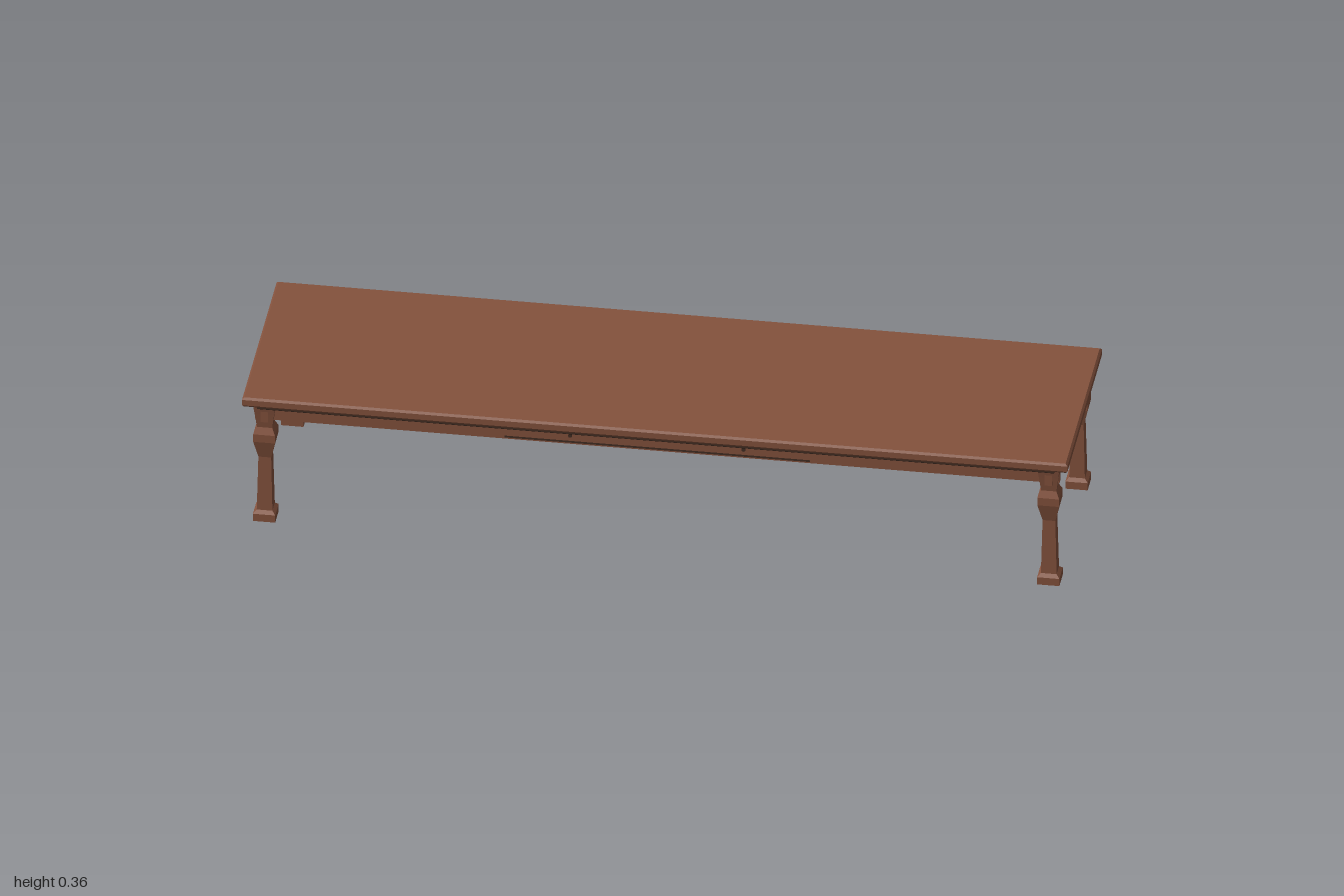
import * as THREE from 'three';

const wood = new THREE.MeshStandardMaterial({ color: 0x84523d });
wood.name = 'brown wood';
const darkWood = new THREE.MeshStandardMaterial({ color: 0x422d23 });
darkWood.name = 'dark wood';

// Rectangular loft: each section is [y, half width, half depth], bottom to top
function loft(sections) {
  const corners = [[1, 1], [1, -1], [-1, -1], [-1, 1]];
  const rings = sections.map(([y, hx, hz]) => corners.map(([x, z]) => [x * hx, y, z * hz]));
  const pos = [];
  const quad = (a, b, c, d) => pos.push(...a, ...b, ...c, ...a, ...c, ...d);
  for (let i = 0; i < rings.length - 1; i++) {
    for (let k = 0; k < 4; k++) {
      const n = (k + 1) % 4;
      quad(rings[i][k], rings[i][n], rings[i + 1][n], rings[i + 1][k]);
    }
  }
  const lo = rings[0], hi = rings[rings.length - 1];
  quad(hi[0], hi[1], hi[2], hi[3]);
  quad(lo[3], lo[2], lo[1], lo[0]);
  const g = new THREE.BufferGeometry();
  g.setAttribute('position', new THREE.Float32BufferAttribute(pos, 3));
  g.computeVertexNormals();
  return g;
}

export function createModel() {
  const model = new THREE.Group();
  model.name = 'lowTable';
  const add = (name, material, geometry, x = 0, y = 0, z = 0) => {
    const mesh = new THREE.Mesh(geometry, material);
    mesh.name = name;
    mesh.position.set(x, y, z);
    model.add(mesh);
    return mesh;
  };

  // Top with chamfered rim, and the dark moulding below it
  add('tableTop', wood, loft([
    [0.332, 0.996, 0.268], [0.337, 1, 0.272], [0.352, 1, 0.272], [0.357, 0.995, 0.267],
  ]));
  add('moulding', darkWood, loft([
    [0.32, 0.964, 0.256], [0.322, 0.966, 0.258], [0.33, 0.966, 0.258], [0.332, 0.964, 0.256],
  ]));

  // Shaped square legs on block feet
  const leg = loft([
    [0, 0.027, 0.027], [0.02, 0.027, 0.027], [0.028, 0.019, 0.019],
    [0.175, 0.0155, 0.0155], [0.222, 0.0265, 0.0265], [0.243, 0.0265, 0.0265],
    [0.26, 0.0185, 0.0185], [0.30, 0.0235, 0.0235], [0.332, 0.028, 0.028],
  ]);
  // Apron rails run through the legs, their ends just showing
  const longRail = new THREE.BoxGeometry(1.949, 0.044, 0.018);
  const shortRail = new THREE.BoxGeometry(0.018, 0.044, 0.492);
  for (const s of [1, -1]) {
    for (const t of [1, -1]) add('leg', wood, leg, s * 0.95, 0, t * 0.2215);
    add('longApron', wood, longRail, 0, 0.3, s * 0.222);
    add('endApron', wood, shortRail, s * 0.95, 0.3, 0);
  }

  // Shallow drawer in the front apron, with a dark lower edge and two small knobs
  add('drawerFront', wood, new THREE.BoxGeometry(0.74, 0.033, 0.004), 0, 0.3045, 0.232);
  add('drawerGap', darkWood, new THREE.BoxGeometry(0.74, 0.005, 0.004), 0, 0.2855, 0.232);
  for (const s of [1, -1]) {
    const knob = add('drawerKnob', darkWood, new THREE.CylinderGeometry(0.005, 0.004, 0.008, 10), s * 0.21, 0.306, 0.237);
    knob.rotation.x = Math.PI / 2;
  }
  return model;
}
